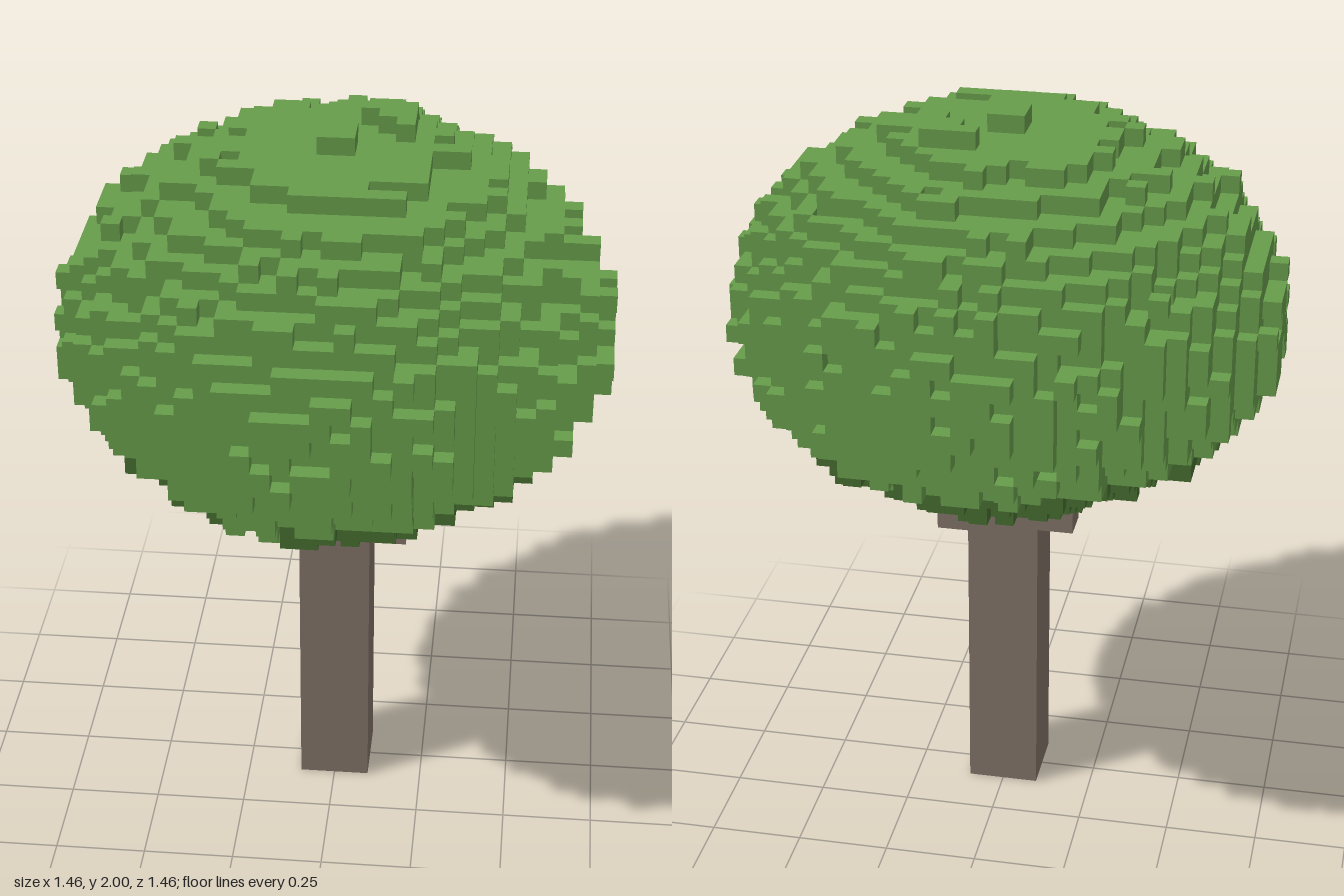
import * as THREE from 'three';

const V = 2 / 41; // edge length of one voxel

// repeatable noise in -1..1 for one voxel
function noise(x, y, z) {
  let h = Math.imul(x + 37, 374761393) ^ Math.imul(y + 11, 668265263) ^ Math.imul(z + 59, 1274126177);
  h = Math.imul(h ^ (h >>> 13), 1103515245);
  return (((h ^ (h >>> 16)) >>> 0) / 4294967296) * 2 - 1;
}

// crown: a rough ellipsoid, slimmer on the diagonals, with a stepped cap above and a tuft below
function inCrown(x, y, z) {
  if (y === 40) return (x >= 1 && x < 4 && z >= -4 && z < x - 4) || (x >= -1 && x < 1 && z >= -1 && z < 1);
  if (y === 19) return x >= 1 && x < 4 && z >= -4 && z < 3 && !(x < 2 && z >= -2 && z < 2);
  if (y < 19 || y > 40) return false;
  const P = 1.8;
  const r2 = ((Math.abs(x + 0.5) / 15) ** P + (Math.abs(z + 0.5) / 15) ** P) ** (2 / P);
  const h2 = ((y - 29.5) / 10.5) ** 2;
  return r2 + h2 < 0.99 + 0.065 * noise(x, y, z);
}

// the underside leaves are darker, apart from a few light patches
function isShadeLeaf(x, y, z) {
  if (y >= 24) return false;
  const frontGap = z > 0 && y > 20 && x >= -5 && x < -2;
  const smallGap = z > 0 && y === 23 && x >= 4 && x < 6;
  return !frontGap && !smallGap && noise(x + 5, y * 3, z - 7) < 0.95;
}

// the six face directions, each with two edge axes so that u x v = n
const FACES = [];
for (let a = 0; a < 3; a++) {
  for (const s of [1, -1]) {
    const n = [0, 0, 0], u = [0, 0, 0], v = [0, 0, 0];
    n[a] = s;
    u[(a + (s > 0 ? 1 : 2)) % 3] = 1;
    v[(a + (s > 0 ? 2 : 1)) % 3] = 1;
    FACES.push({ n, u, v });
  }
}

// mesh of every exposed crown face whose voxel passes the filter
function leafMesh(name, material, filter) {
  const pos = [], nor = [], idx = [];
  for (let y = 19; y <= 40; y++) for (let x = -16; x < 16; x++) for (let z = -16; z < 16; z++) {
    if (!inCrown(x, y, z) || !filter(x, y, z)) continue;
    const cell = [x, y, z];
    for (const { n, u, v } of FACES) {
      if (inCrown(x + n[0], y + n[1], z + n[2])) continue;
      const base = pos.length / 3;
      for (const [i, j] of [[0, 0], [1, 0], [1, 1], [0, 1]]) {
        for (let k = 0; k < 3; k++) pos.push((cell[k] + Math.max(n[k], 0) + i * u[k] + j * v[k]) * V);
        nor.push(...n);
      }
      idx.push(base, base + 1, base + 2, base, base + 2, base + 3);
    }
  }
  const g = new THREE.BufferGeometry();
  g.setAttribute('position', new THREE.Float32BufferAttribute(pos, 3));
  g.setAttribute('normal', new THREE.Float32BufferAttribute(nor, 3));
  g.setIndex(idx);
  const mesh = new THREE.Mesh(g, material);
  mesh.name = name;
  return mesh;
}

// box between two voxel corners
function voxelBox(name, material, a, b) {
  const size = a.map((c, i) => (b[i] - c) * V);
  const mesh = new THREE.Mesh(new THREE.BoxGeometry(...size), material);
  mesh.position.set(...a.map((c, i) => ((c + b[i]) / 2) * V));
  mesh.name = name;
  return mesh;
}

export function createModel() {
  const leaf = new THREE.MeshStandardMaterial({ color: 0x679d4b });
  leaf.name = 'leaf green';
  const shade = new THREE.MeshStandardMaterial({ color: 0x446c2f });
  shade.name = 'dark leaf green';
  const bark = new THREE.MeshStandardMaterial({ color: 0x807267 });
  bark.name = 'bark brown';

  const tree = new THREE.Group();
  tree.name = 'tree';

  // trunk and two branch stubs
  tree.add(
    voxelBox('trunk', bark, [-2, 0, -2], [2, 21, 2]),
    voxelBox('leftBranch', bark, [2, 16, -1], [4, 21, 1]),
    voxelBox('rightBranch', bark, [-4, 17, -2], [-2, 21, 0]),
  );

  // crown
  tree.add(
    leafMesh('crown', leaf, (x, y, z) => !isShadeLeaf(x, y, z)),
    leafMesh('crownUnderside', shade, isShadeLeaf),
  );
  return tree;
}
